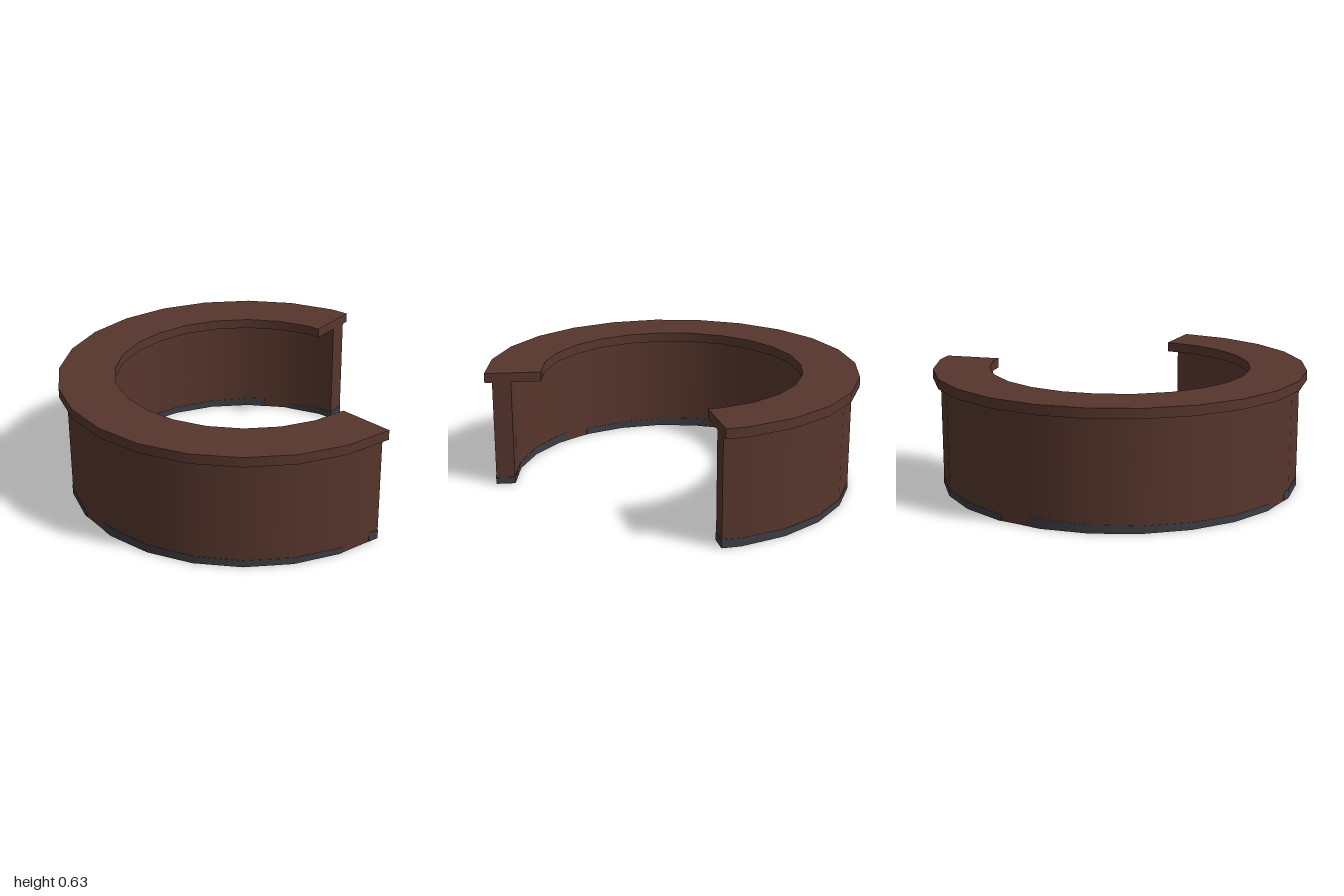
import * as THREE from 'three';

const wood = new THREE.MeshStandardMaterial({ name: 'darkWood', color: 0x57362d });
const grey = new THREE.MeshStandardMaterial({ name: 'greySkirting', color: 0x3d3d44 });

const RAD = Math.PI / 180;
const STEP = 15, START = 0, END = 261; // facet size and open arc, in degrees
const CENTRE_Z = -0.01;

// Facet corners between two angles, including both cut ends
function arcAngles(from, to, step = STEP) {
  const list = [from];
  for (let a = (Math.floor(from / step) + 1) * step; a < to - 1e-6; a += step) list.push(a);
  list.push(to);
  return list;
}

// Point on the faceted ring: lies on the chord between two corners
function ringPoint(deg, r, y) {
  const mid = (Math.floor(deg / STEP) + 0.5) * STEP;
  const rr = r * Math.cos((STEP / 2) * RAD) / Math.cos((deg - mid) * RAD);
  return [rr * Math.cos(deg * RAD), y, rr * Math.sin(deg * RAD) + CENTRE_Z];
}

// Sweep a rectangular section round the ring, smooth on the walls, sharp at the edges
function sweep(angles, inner, outer, bottom, topAt) {
  const pos = [], nor = [], idx = [];
  const corners = a => [[inner, bottom], [inner, topAt(a)], [outer, topAt(a)], [outer, bottom]]
    .map(([r, y]) => ringPoint(a, r, y));
  const normals = a => {
    const c = Math.cos(a * RAD), s = Math.sin(a * RAD);
    return [[-c, 0, -s], [0, 1, 0], [c, 0, s], [0, -1, 0]];
  };
  for (let side = 0; side < 4; side++) {
    const base = pos.length / 3;
    angles.forEach((a, i) => {
      const p = corners(a), n = normals(a)[side];
      pos.push(...p[side], ...p[(side + 1) % 4]);
      nor.push(...n, ...n);
      if (i === 0) return;
      const k = base + (i - 1) * 2;
      idx.push(k, k + 2, k + 3, k, k + 3, k + 1);
    });
  }
  // Flat end caps
  [[angles[0], -1], [angles[angles.length - 1], 1]].forEach(([a, dir]) => {
    const k = pos.length / 3;
    corners(a).forEach(p => {
      pos.push(...p);
      nor.push(-Math.sin(a * RAD) * dir, 0, Math.cos(a * RAD) * dir);
    });
    if (dir < 0) idx.push(k, k + 1, k + 2, k, k + 2, k + 3);
    else idx.push(k, k + 2, k + 1, k, k + 3, k + 2);
  });
  const g = new THREE.BufferGeometry();
  g.setAttribute('position', new THREE.Float32BufferAttribute(pos, 3));
  g.setAttribute('normal', new THREE.Float32BufferAttribute(nor, 3));
  g.setIndex(idx);
  return g;
}

export function createModel() {
  const model = new THREE.Group();
  model.name = 'curvedCounter';
  const add = (name, geometry, material) => {
    const mesh = new THREE.Mesh(geometry, material);
    mesh.name = name;
    model.add(mesh);
  };

  const arc = arcAngles(START, END);
  add('counterWall', sweep(arc, 0.86, 0.96, 0, () => 0.58), wood);
  add('counterTop', sweep(arc, 0.7, 1, 0.578, () => 0.63), wood);

  // Uneven skirting strips, broken by a gap once per period
  const skirting = (name, inner, outer, firstGap, gapWidth, period) => {
    for (let gap = firstGap; gap - period < END; gap += period) {
      const from = Math.max(START, gap - period + gapWidth);
      const to = Math.min(END, gap);
      if (to <= from) continue;
      const height = a => {
        const t = (a - gap + period) / period;
        return 0.034 + 0.016 * t * t;
      };
      add(name, sweep(arcAngles(from, to, 5), inner, outer, 0, height), grey);
    }
  };
  skirting('outerSkirting', 0.958, 0.962, 3.5, 10.5, 90);
  skirting('innerSkirting', 0.858, 0.862, 49, 10, 61);

  // Skirting on the two cut ends
  add('startSkirting', sweep([START - 0.15, START + 0.05], 0.86, 0.96, 0, () => 0.035), grey);
  add('endSkirting', sweep([END - 0.05, END + 0.15], 0.86, 0.96, 0, () => 0.04), grey);

  return model;
}
